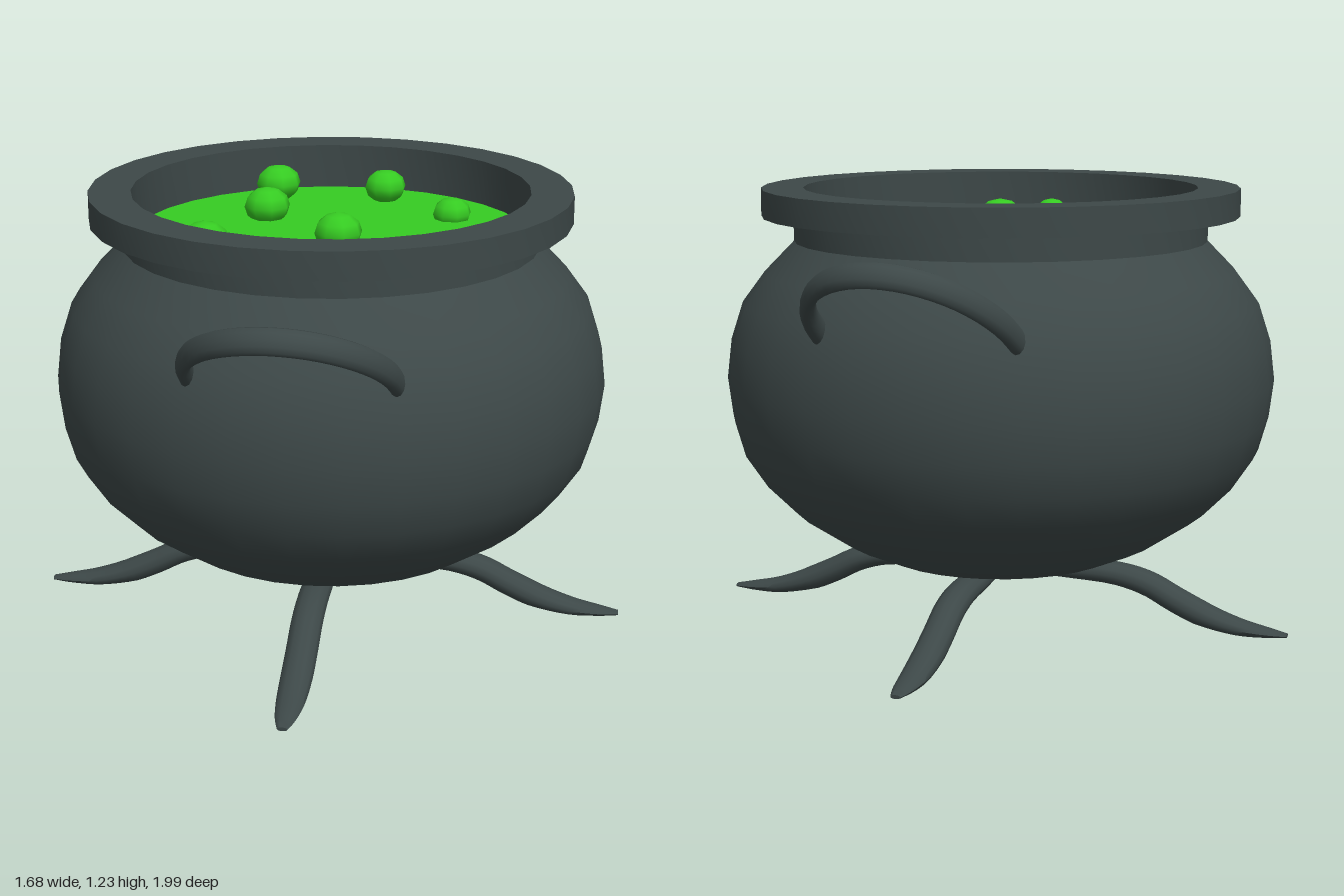
import * as THREE from 'three';
import { toCreasedNormals } from 'three/addons/utils/BufferGeometryUtils.js';

const iron = new THREE.MeshStandardMaterial({ color: 0x3d4848 });
iron.name = 'darkIron';
const brew = new THREE.MeshStandardMaterial({ color: 0x36cc22 });
brew.name = 'greenBrew';

function mesh(name, geometry, material) {
  const m = new THREE.Mesh(geometry, material);
  m.name = name;
  return m;
}

// Revolved profile of [radius, height] pairs with sharp edges kept
function lathe(profile) {
  const pts = profile.map(([r, y]) => new THREE.Vector2(r, y));
  return toCreasedNormals(new THREE.LatheGeometry(pts, 32), 0.6);
}

// Sweep an oval section along a curve in the XY plane; size(t) gives [half depth, half height]
function sweep(curve, steps, size, sides = 12) {
  const pos = [], index = [];
  for (let i = -1; i <= steps + 1; i++) {
    const t = Math.min(Math.max(i / steps, 0), 1);
    const p = curve.getPoint(t), d = curve.getTangent(t);
    const closed = i < 0 || i > steps;
    const [w, h] = closed ? [0, 0] : size(t);
    for (let j = 0; j < sides; j++) {
      const a = (j / sides) * Math.PI * 2;
      const k = Math.cos(a) * h;
      pos.push(p.x - d.y * k, p.y + d.x * k, Math.sin(a) * w);
    }
  }
  for (let i = 0; i < steps + 2; i++) {
    for (let j = 0; j < sides; j++) {
      const a = i * sides + j, d = i * sides + (j + 1) % sides;
      index.push(a, d, a + sides, a + sides, d, d + sides);
    }
  }
  const g = new THREE.BufferGeometry();
  g.setAttribute('position', new THREE.Float32BufferAttribute(pos, 3));
  g.setIndex(index);
  return toCreasedNormals(g, 0.9);
}

const curveThrough = (pts) =>
  new THREE.CatmullRomCurve3(pts.map(([x, y]) => new THREE.Vector3(x, y, 0)));

export function createModel() {
  const model = new THREE.Group();
  model.name = 'cauldron';

  // Round pot
  model.add(mesh('pot', lathe([
    [0, 0.155], [0.214, 0.165], [0.34, 0.195], [0.455, 0.245], [0.59, 0.335], [0.67, 0.415],
    [0.73, 0.505], [0.757, 0.6], [0.77, 0.705], [0.757, 0.815], [0.723, 0.92],
    [0.66, 1.005], [0.572, 1.095],
  ]), iron));

  // Neck, and the rim with its inner wall
  model.add(mesh('neck', lathe([[0.56, 1.09], [0.578, 1.09], [0.578, 1.165]]), iron));
  model.add(mesh('rim', lathe([
    [0.575, 1.16], [0.667, 1.16], [0.667, 1.237], [0.55, 1.237], [0.55, 1.08],
  ]), iron));

  // Liquid surface
  const liquid = mesh('liquid', new THREE.CircleGeometry(0.552, 32), brew);
  liquid.rotation.x = -Math.PI / 2;
  liquid.position.y = 1.11;
  model.add(liquid);

  // Bubbles: x, z, radius, lift above the liquid
  const bubbles = [
    [-0.207, -0.343, 0.065, 0.055], [0.1, -0.405, 0.061, 0.04], [0.315, -0.213, 0.056, 0.015],
    [-0.205, -0.143, 0.066, 0.035], [0.035, 0.1, 0.067, 0.03], [0.403, 0.12, 0.052, 0.02],
    [-0.312, 0.207, 0.067, 0.02], [0, 0.483, 0.048, 0.015],
  ];
  for (const [x, z, r, lift] of bubbles) {
    const b = mesh('bubble', new THREE.SphereGeometry(r, 8, 6), brew);
    b.scale.y = 0.8;
    b.rotation.y = Math.PI / 8;
    b.position.set(x, 1.11 + lift, z);
    model.add(b);
  }

  // Arched handles, front and back, leaning outward
  const arch = [];
  for (let i = 0; i <= 12; i++) {
    const a = (i / 12) * Math.PI;
    arch.push([0.268 * Math.cos(a), 0.363 * Math.sin(a)]);
  }
  const handleGeo = sweep(curveThrough(arch), 28, () => [0.035, 0.02]);
  for (const [name, turn] of [['frontHandle', 0], ['backHandle', Math.PI]]) {
    const pivot = new THREE.Group();
    pivot.name = name;
    const h = mesh('handleBar', handleGeo, iron);
    h.position.set(0, 0.905, 0.663);
    h.rotation.x = 1.007;
    pivot.add(h);
    pivot.rotation.y = turn;
    model.add(pivot);
  }

  // Four curved legs meeting under the pot
  const legCurve = curveThrough([
    [0, 0.155], [0.2, 0.156], [0.35, 0.15], [0.44, 0.128], [0.52, 0.088],
    [0.6, 0.053], [0.7, 0.026], [0.78, 0.017], [0.838, 0.013],
  ]);
  const legSize = (t) => {
    const tip = Math.max(0, (t - 0.6) / 0.4);
    const root = Math.min(1, 0.6 + t * 2.5);
    return [0.044 * root * (1 - 0.68 * tip * tip), (0.025 + 0.011 * Math.sin(Math.PI * t)) * (1 - 0.78 * tip)];
  };
  const legGeo = sweep(legCurve, 28, legSize);
  ['leftLeg', 'backLeg', 'rightLeg', 'frontLeg'].forEach((name, i) => {
    const leg = mesh(name, legGeo, iron);
    leg.rotation.y = (i * Math.PI) / 2;
    model.add(leg);
  });

  return model;
}
